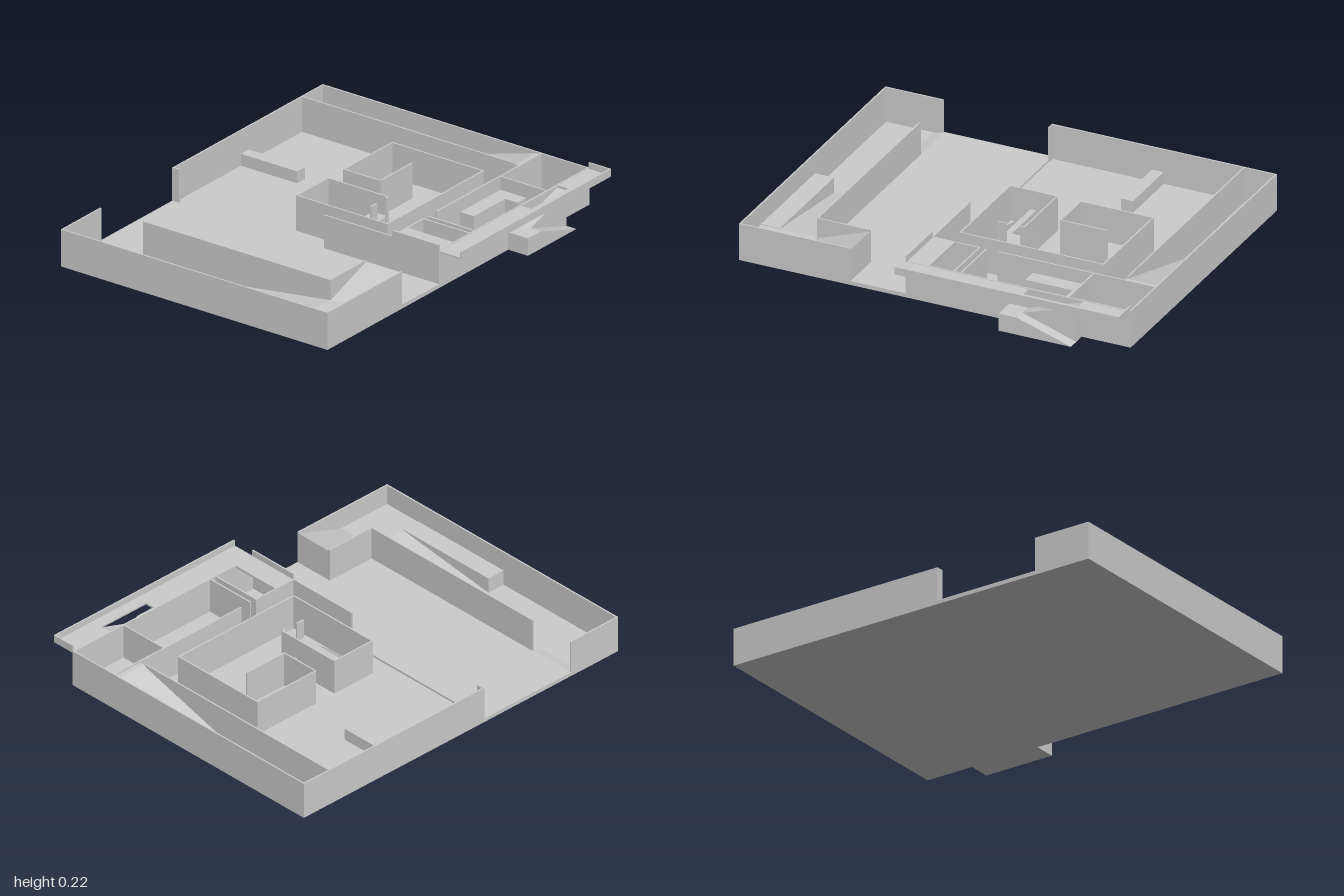
import * as THREE from 'three';

export function createModel() {
  const root = new THREE.Group();
  const mat = new THREE.MeshStandardMaterial({ color: 0xcccccc, side: THREE.DoubleSide, flatShading: true });
  const T = 0.008; // wall thickness
  const H = 0.187; // wall height
  const F = 0.01; // floor level

  const add = (name, geo) => {
    const m = new THREE.Mesh(geo, mat);
    m.name = name;
    root.add(m);
    return m;
  };
  // box between two corners
  const box = (name, x0, x1, y0, y1, z0, z1) => {
    const m = add(name, new THREE.BoxGeometry(x1 - x0, y1 - y0, z1 - z0));
    m.position.set((x0 + x1) / 2, (y0 + y1) / 2, (z0 + z1) / 2);
    return m;
  };
  // thin walls along x or along z
  const wallX = (name, z, x0, x1, h = H, y0 = 0) => box(name, x0, x1, y0, h, z - T / 2, z + T / 2);
  const wallZ = (name, x, z0, z1, h = H, y0 = 0) => box(name, x - T / 2, x + T / 2, y0, h, z0, z1);
  // prism with a profile of [z, y] points, spanning x0..x1
  const prismX = (name, pts, x0, x1) => {
    const s = new THREE.Shape(pts.map(([z, y]) => new THREE.Vector2(-z, y)));
    const g = new THREE.ExtrudeGeometry(s, { depth: x1 - x0, bevelEnabled: false });
    g.rotateY(Math.PI / 2).translate(x0, 0, 0);
    return add(name, g);
  };
  // prism with a profile of [x, y] points, spanning z0..z1
  const prismZ = (name, pts, z0, z1) => {
    const s = new THREE.Shape(pts.map(([x, y]) => new THREE.Vector2(x, y)));
    const g = new THREE.ExtrudeGeometry(s, { depth: z1 - z0, bevelEnabled: false });
    return add(name, g.translate(0, 0, z0));
  };

  // ground slab with a slightly raised lane across the middle
  box('floor', -0.83, 0.70, 0, F, -1, 1);
  box('laneFloor', -0.83, 0.70, 0, 0.02, 0.145, 0.70);
  prismX('laneRamp', [[0.70, 0], [0.70, 0.02], [0.75, F], [0.75, 0]], -0.83, -0.58);

  // outer walls, open at both ends of the lane
  wallX('frontWall', 1 - T / 2, -0.83, 0.70);
  wallX('backWall', -1 + T / 2, -0.83, 0.70);
  for (const [name, x] of [['rightOuterWall', -0.83 + T / 2], ['leftOuterWall', 0.70 - T / 2]]) {
    wallZ(name, x, -1, 0.145);
    wallZ(name, x, x < 0 ? 0.70 : 0.43, 1);
  }
  wallX('laneStub', 0.145, -0.83, -0.79);
  wallX('laneWall', 0.145, 0.04, 0.70);
  wallX('laneParapet', 0.145, 0.43, 0.70, 0.217, H);

  // front trench with a climb to the corner exit
  wallX('trenchWall', 0.70, -0.58, 0.49);
  wallZ('exitRampWall', 0.49, 0.43, 0.70);
  prismZ('trenchSlope', [[-0.08, F], [0.485, 0.085], [0.485, 0], [-0.08, 0]], 0.70, 0.90);
  box('trenchLanding', 0.485, 0.70, 0, 0.085, 0.70, 1);
  box('trenchLedge', -0.08, 0.485, 0, 0.088, 0.895, 1);
  prismX('exitRamp', [[0.70, 0], [0.70, 0.085], [0.43, 0.18], [0.43, 0]], 0.49, 0.70);

  // back corridor with its ramp
  wallX('corridorWall', -0.835, -0.83, 0.39);
  prismZ('corridorRamp', [[-0.19, F], [0.40, 0.18], [0.425, 0.18], [0.425, 0], [-0.19, 0]], -1, -0.835);

  // central building
  const bx0 = -0.19, bx1 = 0.33;
  wallX('buildingBack', -0.68, bx0, bx1);
  wallX('buildingFront', 0.05, bx0, bx1);
  wallZ('buildingLeft', bx1, -0.68, 0.05);
  wallZ('buildingRight', bx0, -0.68, -0.31);
  wallZ('buildingRight', bx0, -0.19, 0.05);
  wallX('roomDivider', -0.31, bx0, 0.018);
  wallZ('roomDivider', 0.018, -0.55, -0.31);
  wallX('entryWall', -0.19, bx0, 0.055);
  wallX('entryWall', -0.19, 0.07, 0.155);
  wallX('entryLintel', -0.19, 0.055, 0.07, H, 0.09);
  wallZ('entryPost', 0.155, -0.19, -0.17);
  wallZ('entryPost', 0.155, -0.10, -0.055);
  box('innerPlatform', bx0, 0.155, 0, 0.09, -0.085, -0.055);
  box('innerStep', 0.07, 0.155, 0, 0.09, -0.19, -0.085);
  prismX('innerRamp', [[0.05, 0], [0.05, F], [-0.055, 0.09], [-0.055, 0]], -0.09, 0.07);

  // bench on the right wall
  box('bench', -0.83, -0.50, 0, 0.07, -0.425, -0.365);

  // rooms along the left side
  wallZ('sideRoomWall', 0.428, -1, -0.19);
  wallZ('sideRoomWall', 0.428, -0.10, 0.145);
  for (const z of [-0.68, -0.13, -0.095]) wallX('sideRoomDivider', z, 0.428, 0.70);
  box('sideRoomDeck', 0.428, 0.70, 0.175, H, 0.03, 0.145);
  box('sideRoomLedge', 0.428, 0.51, 0, 0.12, -0.68, -0.37);
  box('sideRoomLedge', 0.51, 0.58, 0, 0.12, -0.68, -0.61);

  // overhanging walkway with a stair opening and parapets
  const walk = new THREE.Shape();
  walk.moveTo(0.70, -0.145).lineTo(0.825, -0.145).lineTo(0.825, 1).lineTo(0.70, 1).closePath();
  const hole = new THREE.Path();
  hole.moveTo(0.702, 0.48).lineTo(0.702, 0.76).lineTo(0.757, 0.76).lineTo(0.757, 0.48).closePath();
  walk.holes.push(hole);
  const wg = new THREE.ExtrudeGeometry(walk, { depth: 0.008, bevelEnabled: false });
  add('walkway', wg.rotateX(-Math.PI / 2).translate(0, 0.177, 0));
  wallZ('walkwayParapet', 0.825 - T / 2, -1, 0.145, 0.215, 0.177);
  wallX('walkwayParapet', -1 + T / 2, 0.70, 0.825, 0.215, 0.177);

  // switchback ramp outside the left wall
  box('stairLanding', 0.70, 0.813, 0, 0.088, -0.475, -0.38);
  prismX('upperRamp', [[-0.475, 0], [-0.475, 0.088], [-0.75, 0.177], [-0.75, 0]], 0.70, 0.757);
  prismX('lowerRamp', [[-0.475, 0], [-0.475, 0.088], [-0.75, 0]], 0.757, 0.813);

  return root;
}
